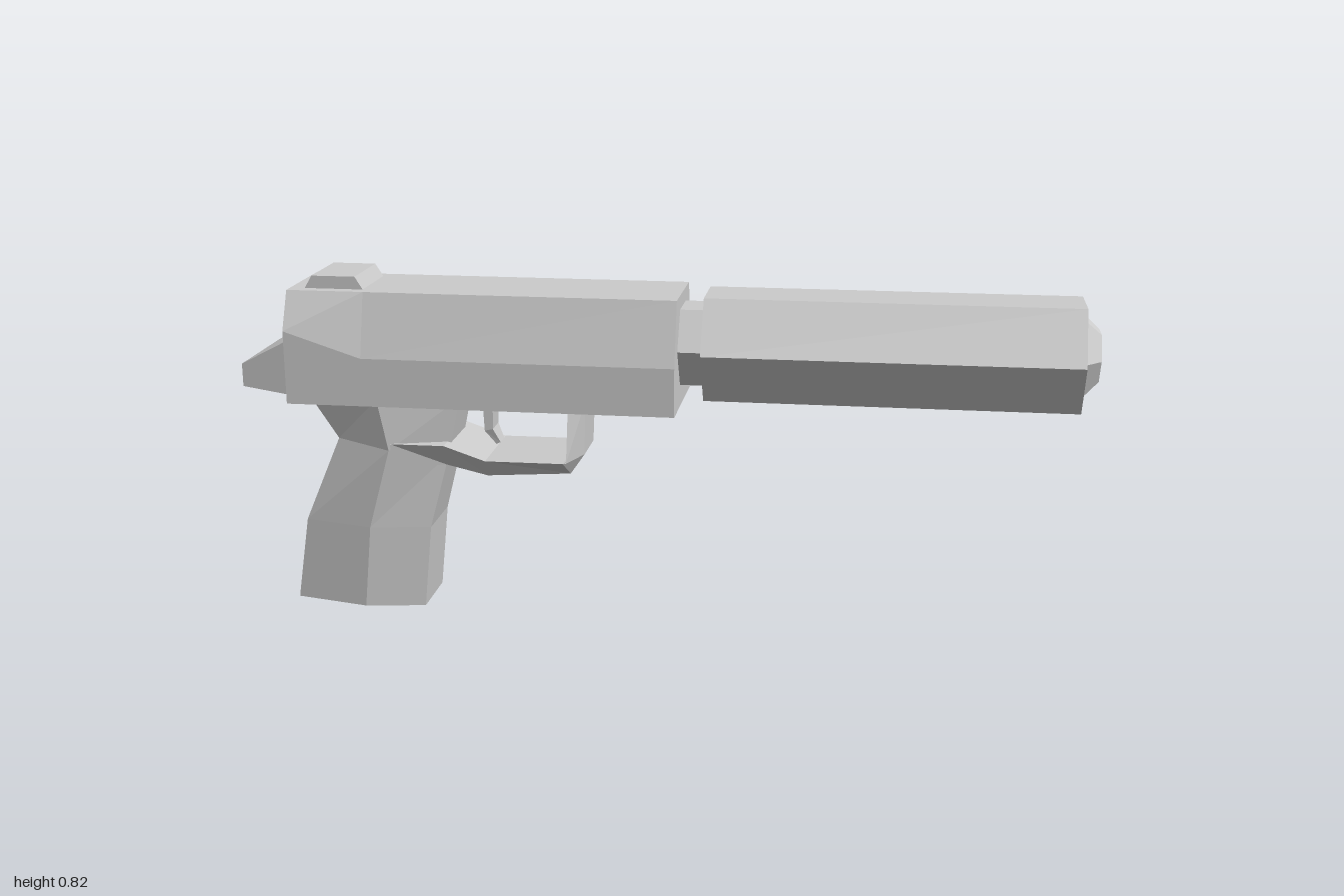
import * as THREE from 'three';

const material = new THREE.MeshStandardMaterial({ color: 0xcccccc, flatShading: true });

// Closed solid through matching rings of [x, y, z] points, faces turned outward
function loft(rings) {
  const n = rings[0].length;
  const tris = [];
  for (let i = 0; i < rings.length - 1; i++) {
    for (let j = 0; j < n; j++) {
      const k = (j + 1) % n;
      const a = rings[i][j], b = rings[i][k], c = rings[i + 1][k], d = rings[i + 1][j];
      tris.push([a, b, c], [a, c, d]);
    }
  }
  const last = rings[rings.length - 1];
  for (let j = 1; j < n - 1; j++) {
    tris.push([rings[0][0], rings[0][j + 1], rings[0][j]], [last[0], last[j], last[j + 1]]);
  }
  let volume = 0;
  for (const [a, b, c] of tris) {
    volume += new THREE.Vector3(...a).dot(new THREE.Vector3(...b).cross(new THREE.Vector3(...c)));
  }
  if (volume < 0) tris.forEach((t) => t.reverse());
  const geometry = new THREE.BufferGeometry();
  geometry.setAttribute('position', new THREE.Float32BufferAttribute(tris.flat(2), 3));
  geometry.computeVertexNormals();
  return geometry;
}

// Six-sided turned part along x, profile given as [radius, x]
function hexTurned(profile) {
  const points = profile.map(([r, x]) => new THREE.Vector2(r, x));
  return new THREE.LatheGeometry(points, 6).rotateZ(-Math.PI / 2).translate(0, 0.667, 0);
}

// Four-sided ring between two profile points, each with its own half width
const bar = ([x0, y0, w0], [x1, y1, w1]) => [[x0, y0, -w0], [x0, y0, w0], [x1, y1, w1], [x1, y1, -w1]];

export function createModel() {
  const model = new THREE.Group();
  const add = (name, geometry) => {
    const mesh = new THREE.Mesh(geometry, material);
    mesh.name = name;
    model.add(mesh);
  };

  // Slide: chamfered top, with the shoulder rising toward the rear
  add('slide', loft([[-0.885, 0.7], [-0.7, 0.64], [0.04, 0.64]].map(([x, shoulder]) => [
    [x, 0.525, 0.155], [x, shoulder, 0.155], [x, 0.79, 0.112],
    [x, 0.79, -0.112], [x, shoulder, -0.155], [x, 0.525, -0.155],
  ])));

  add('rearTang', loft([
    bar([-1, 0.557, 0.128], [-1, 0.612, 0.128]),
    bar([-0.88, 0.543, 0.142], [-0.88, 0.675, 0.142]),
  ]));

  add('rearSight', loft([
    bar([-0.852, 0.785, 0.084], [-0.705, 0.785, 0.084]),
    bar([-0.832, 0.82, 0.084], [-0.727, 0.82, 0.084]),
  ]));

  // Barrel neck and long hexagonal sleeve with a tapered, bored muzzle
  add('barrelNeck', hexTurned([[0, 0.02], [0.104, 0.02], [0.104, 0.11], [0, 0.11]]));
  add('barrelSleeve', hexTurned([
    [0, 0.097], [0.141, 0.097], [0.141, 0.962], [0.103, 0.962],
    [0.063, 1], [0.049, 1], [0.049, 0.94], [0, 0.94],
  ]));

  // Grip: bent hexagonal column; [back x, back y, middle x, front x, front y, narrow half width]
  add('grip', loft([
    [-0.91, 0.008, -0.73, -0.588, 0, 0.08],
    [-0.878, 0.212, -0.71, -0.567, 0.205, 0.08],
    [-0.79, 0.42, -0.655, -0.518, 0.39, 0.07],
    [-0.862, 0.53, -0.68, -0.488, 0.53, 0.07],
  ].map(([xb, yb, xm, xf, yf, w]) => {
    const ym = (yb + yf) / 2;
    return [[xb, yb, w], [xm, ym, 0.112], [xf, yf, w], [xf, yf, -w], [xm, ym, -0.112], [xb, yb, -w]];
  })));

  // Trigger guard: bevelled strip swept from the slide back to the grip
  add('triggerGuard', loft([
    bar([-0.184, 0.53, 0.07], [-0.222, 0.53, 0.085]),
    bar([-0.188, 0.4, 0.06], [-0.224, 0.39, 0.11]),
    bar([-0.222, 0.351, 0.062], [-0.232, 0.389, 0.111]),
    bar([-0.42, 0.345, 0.085], [-0.42, 0.388, 0.111]),
    bar([-0.52, 0.368, 0.085], [-0.52, 0.422, 0.112]),
    bar([-0.65, 0.366, 0.112], [-0.65, 0.422, 0.114]),
  ]));

  add('trigger', loft([
    bar([-0.442, 0.53, 0.03], [-0.416, 0.53, 0.03]),
    bar([-0.438, 0.44, 0.03], [-0.418, 0.445, 0.03]),
    bar([-0.412, 0.405, 0.02], [-0.402, 0.41, 0.02]),
  ]));

  return model;
}
